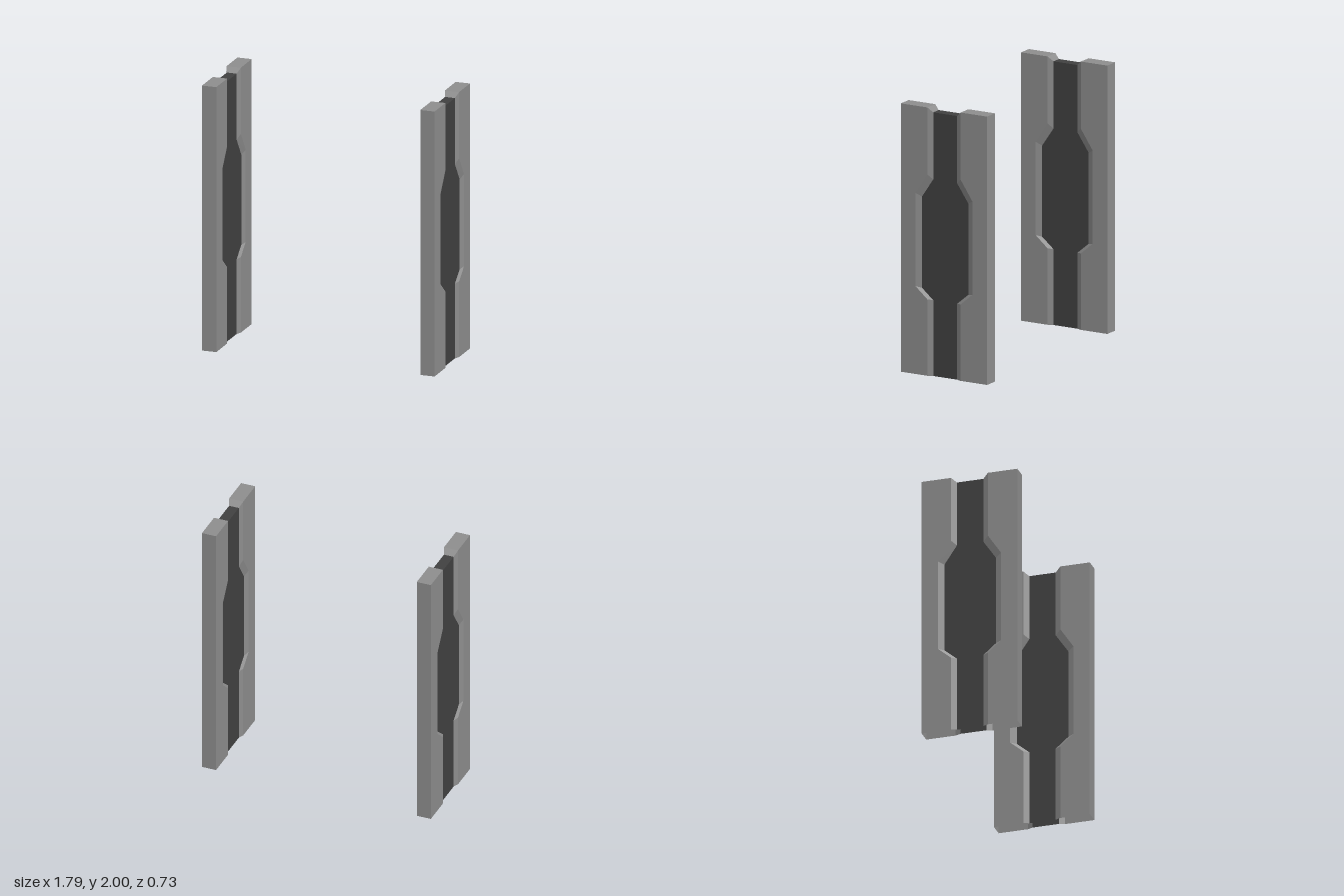
import * as THREE from 'three';

const HALF_T = 0.055;   // half thickness of the frame
const PANEL_T = 0.038;  // half thickness of the recessed panel
const HALF_D = 0.363;   // half depth along z
const OFFSET = 0.84;    // distance of each slab from the centre

// Recess outline as [z, y], from floor to top: rim on the frame, and edge on the panel
const rim = [[0.14, 0], [0.14, 0.57], [0.24, 0.655], [0.24, 1.35], [0.14, 1.5], [0.14, 2]];
const edge = [[0.1, 0], [0.1, 0.565], [0.195, 0.645], [0.195, 1.325], [0.1, 1.465], [0.1, 1.965]];

// Adds a quad, mirrored in x and z by the given signs, keeping it facing outward
function addQuad(out, corners, sx, sz) {
  const p = corners.map(([x, y, z]) => [x * sx, y, z * sz]);
  const order = sx * sz > 0 ? [0, 1, 2, 0, 2, 3] : [0, 2, 1, 0, 3, 2];
  order.forEach((i) => out.push(...p[i]));
}

function makeMesh(name, positions, material) {
  const geometry = new THREE.BufferGeometry();
  geometry.setAttribute('position', new THREE.Float32BufferAttribute(positions, 3));
  geometry.computeVertexNormals();
  const mesh = new THREE.Mesh(geometry, material);
  mesh.name = name;
  return mesh;
}

// One upright slab: a hollow shell, open at the floor
function makeSlab(frameMaterial, panelMaterial) {
  const face = [], bevel = [], panel = [];
  for (const sx of [1, -1]) {
    for (const sz of [1, -1]) {
      for (let i = 0; i < rim.length - 1; i++) {
        const [r0, ry0] = rim[i], [r1, ry1] = rim[i + 1];
        const [e0, ey0] = edge[i], [e1, ey1] = edge[i + 1];
        // Flat frame face
        addQuad(face, [[HALF_T, ry0, HALF_D], [HALF_T, ry0, r0], [HALF_T, ry1, r1], [HALF_T, ry1, HALF_D]], sx, sz);
        // Slope down to the recess
        addQuad(bevel, [[HALF_T, ry0, r0], [PANEL_T, ey0, e0], [PANEL_T, ey1, e1], [HALF_T, ry1, r1]], sx, sz);
        // Recessed panel
        addQuad(panel, [[PANEL_T, ey0, e0], [PANEL_T, ey0, 0], [PANEL_T, ey1, 0], [PANEL_T, ey1, e1]], sx, sz);
      }
      // End wall, top cap, top slope and panel top
      addQuad(face, [[0, 0, HALF_D], [HALF_T, 0, HALF_D], [HALF_T, 2, HALF_D], [0, 2, HALF_D]], sx, sz);
      addQuad(face, [[0, 2, HALF_D], [HALF_T, 2, HALF_D], [HALF_T, 2, 0.14], [0, 2, 0.14]], sx, sz);
      addQuad(bevel, [[0, 2, 0.14], [HALF_T, 2, 0.14], [PANEL_T, 1.965, 0.1], [0, 1.965, 0.1]], sx, sz);
      addQuad(panel, [[0, 1.965, 0.1], [PANEL_T, 1.965, 0.1], [PANEL_T, 1.965, 0], [0, 1.965, 0]], sx, sz);
    }
  }
  const slab = new THREE.Group();
  slab.add(
    makeMesh('frame', face, frameMaterial),
    makeMesh('recessBevel', bevel, frameMaterial),
    makeMesh('recessedPanel', panel, panelMaterial),
  );
  return slab;
}

export function createModel() {
  const frameMaterial = new THREE.MeshStandardMaterial({ color: 0x8e8e8e, side: THREE.DoubleSide, flatShading: true });
  frameMaterial.name = 'mid grey';
  const panelMaterial = new THREE.MeshStandardMaterial({ color: 0x414141, side: THREE.DoubleSide, flatShading: true });
  panelMaterial.name = 'dark grey';

  const model = new THREE.Group();
  model.name = 'doorPosts';
  for (const [name, side] of [['leftPost', 1], ['rightPost', -1]]) {
    const slab = makeSlab(frameMaterial, panelMaterial);
    slab.name = name;
    slab.position.x = side * OFFSET;
    model.add(slab);
  }
  return model;
}
